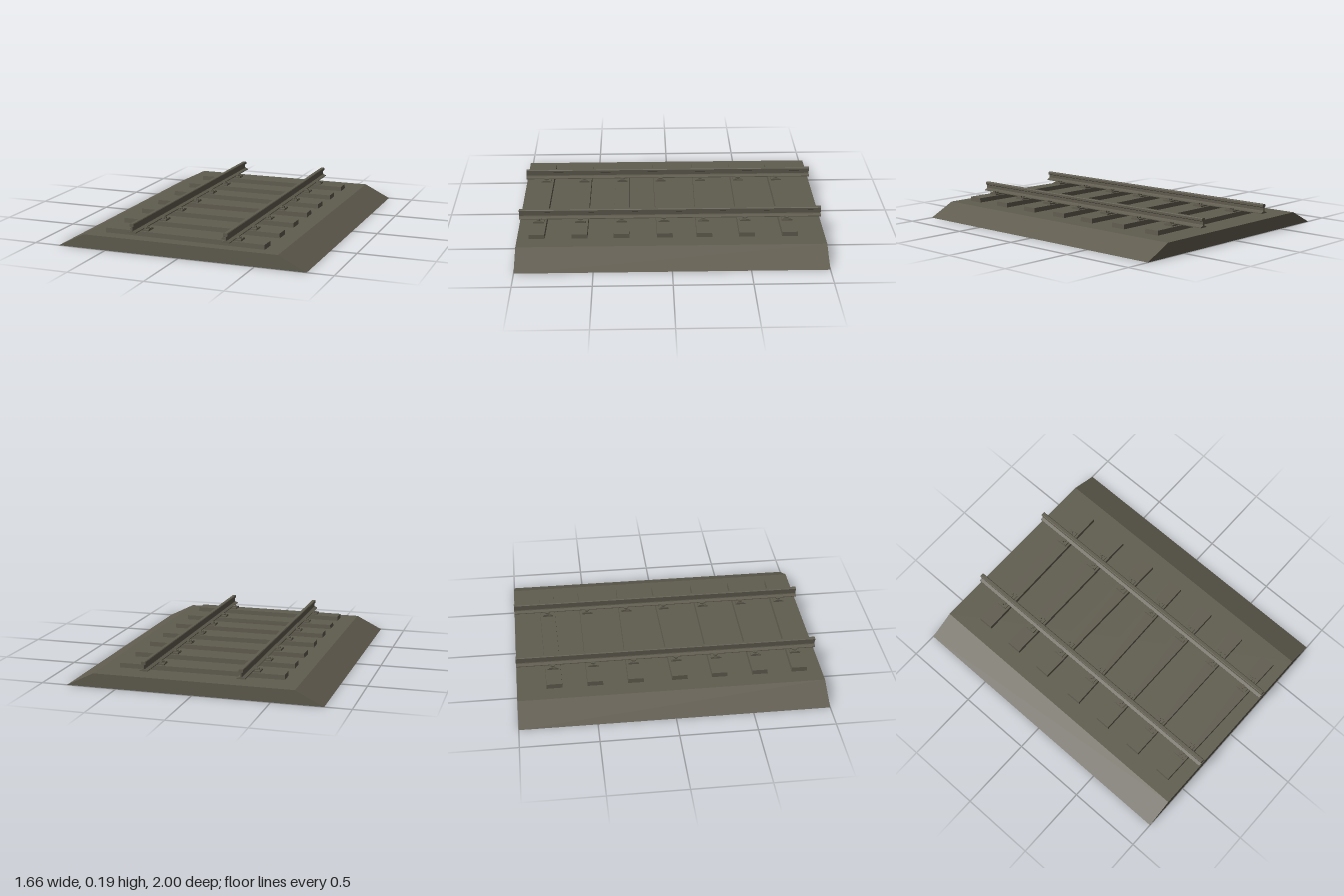
import * as THREE from 'three';

const stone = new THREE.MeshStandardMaterial({ color: 0x605c4f });
stone.name = 'weathered olive grey';

function add(parent, geometry, name, x = 0, y = 0, z = 0) {
  const mesh = new THREE.Mesh(geometry, stone);
  mesh.name = name;
  mesh.position.set(x, y, z);
  parent.add(mesh);
  return mesh;
}

// Extrudes a right-half profile, mirrored in x, along the full track length
function mirroredBar(half) {
  const points = [...half, ...half.slice().reverse().map(([x, y]) => [-x, y])];
  const shape = new THREE.Shape(points.map(([x, y]) => new THREE.Vector2(x, y)));
  return new THREE.ExtrudeGeometry(shape, { depth: 2, bevelEnabled: false }).translate(0, 0, -1);
}

// Box whose top face is drawn in slightly
function taperedBox(w, h, d, inset) {
  const geometry = new THREE.BoxGeometry(w, h, d);
  const p = geometry.attributes.position;
  for (let i = 0; i < p.count; i++) {
    if (p.getY(i) > 0) {
      p.setX(i, p.getX(i) - Math.sign(p.getX(i)) * inset);
      p.setZ(i, p.getZ(i) - Math.sign(p.getZ(i)) * inset);
    }
  }
  geometry.computeVertexNormals();
  return geometry;
}

export function createModel() {
  const track = new THREE.Group();
  track.name = 'railwayTrack';

  // Gravel bed
  add(track, mirroredBar([[0.83, 0], [0.65, 0.09]]), 'ballastBed');

  // Rails with foot, web and head
  const railX = 0.313;
  const railShape = mirroredBar([
    [0.027, 0.13], [0.027, 0.135], [0.007, 0.143], [0.005, 0.148],
    [0.005, 0.168], [0.014, 0.173], [0.014, 0.187], [0.010, 0.191],
  ]);
  for (const side of [-1, 1]) add(track, railShape, side > 0 ? 'leftRail' : 'rightRail', side * railX);

  // Sleepers, each laid a little askew: [z, turn]
  const sleepers = [
    [-0.765, 0.014], [-0.493, 0], [-0.222, -0.012], [0.05, 0.017],
    [0.322, 0], [0.592, -0.005], [0.862, -0.018],
  ];
  const sleeperShape = taperedBox(1.08, 0.034, 0.104, 0.002);
  const plateShape = new THREE.BoxGeometry(0.13, 0.01, 0.07);
  const ridgeShape = new THREE.BoxGeometry(0.006, 0.006, 0.05);
  const clipShape = new THREE.BoxGeometry(0.018, 0.008, 0.03);
  const boltShape = new THREE.BoxGeometry(0.009, 0.014, 0.014);

  for (const [z, turn] of sleepers) {
    const group = new THREE.Group();
    group.name = 'sleeperAssembly';
    group.position.z = z;
    group.rotation.y = turn;
    track.add(group);
    add(group, sleeperShape, 'sleeper', 0, 0.103, 0);

    for (const side of [-1, 1]) {
      const x = side * railX;
      add(group, plateShape, 'basePlate', x, 0.125, 0);
      // Fastenings on both sides of the rail foot
      for (const s of [-1, 1]) {
        add(group, ridgeShape, 'plateRidge', x + s * 0.06, 0.131, 0);
        add(group, clipShape, 'railClip', x + s * 0.034, 0.134, 0);
        add(group, boltShape, 'bolt', x + s * 0.048, 0.135, 0);
      }
    }
  }
  return track;
}
